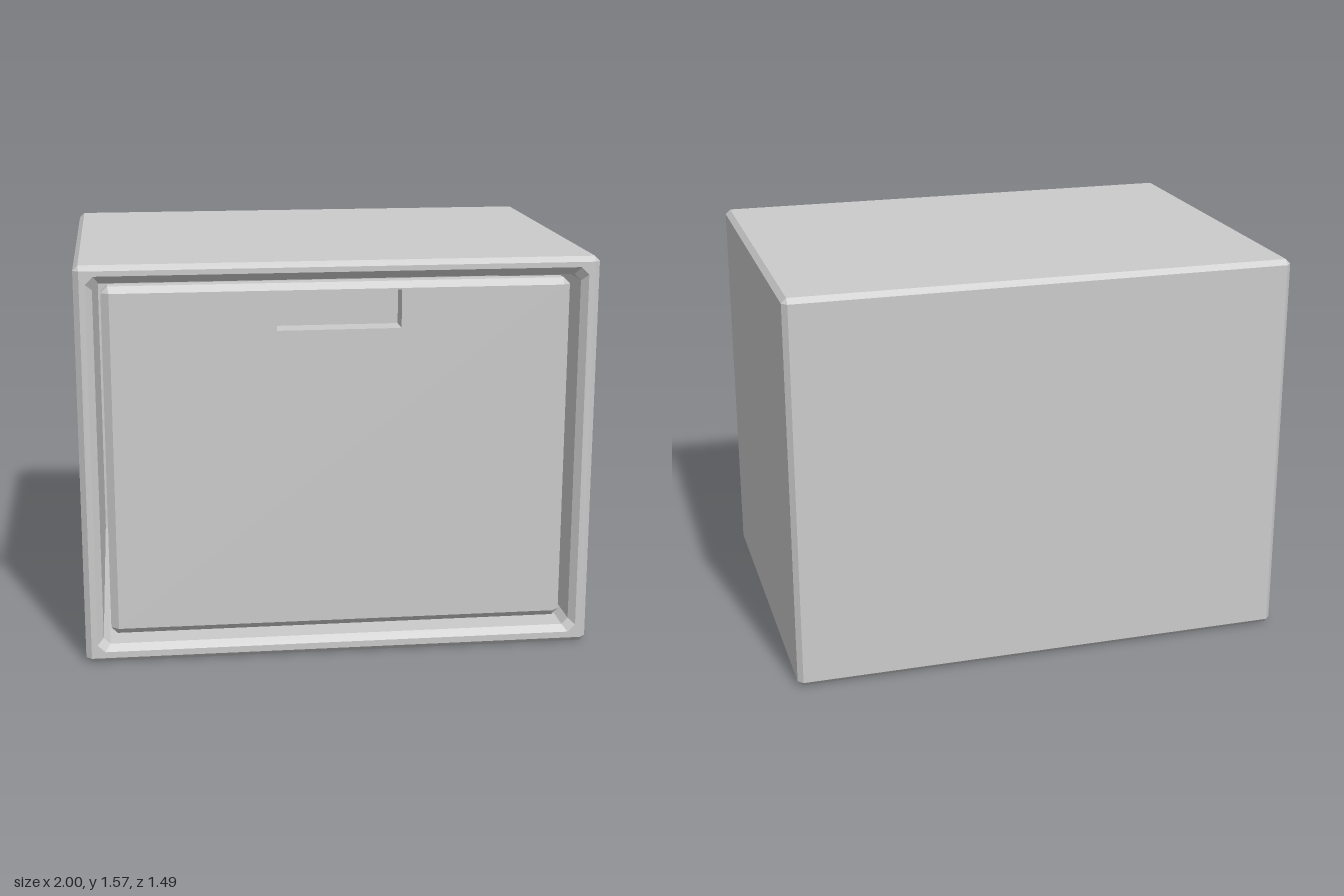
import * as THREE from 'three';

const material = new THREE.MeshStandardMaterial({ color: 0xcccccc, flatShading: true });

// Counter-clockwise rectangle with corners cut by c, lying at depth z
function ring(halfWidth, bottom, top, c, z) {
  const w = halfWidth;
  return [
    [w, bottom + c], [w, top - c], [w - c, top], [-w + c, top],
    [-w, top - c], [-w, bottom + c], [-w + c, bottom], [w - c, bottom],
  ].map(([x, y]) => new THREE.Vector3(x, y, z));
}

// Skin joining successive rings, optionally closed at both ends
function loft(rings, closed) {
  const points = [];
  for (let k = 0; k < rings.length - 1; k++) {
    for (let i = 0; i < 8; i++) {
      const j = (i + 1) % 8;
      const a = rings[k][i], b = rings[k][j], c = rings[k + 1][j], d = rings[k + 1][i];
      points.push(a, b, c, a, c, d);
    }
  }
  if (closed) {
    const first = rings[0], last = rings[rings.length - 1];
    for (let i = 1; i < 7; i++) {
      points.push(first[0], first[i + 1], first[i], last[0], last[i], last[i + 1]);
    }
  }
  const geometry = new THREE.BufferGeometry().setFromPoints(points);
  geometry.computeVertexNormals();
  return geometry;
}

function addMesh(parent, name, geometry) {
  const mesh = new THREE.Mesh(geometry, material);
  mesh.name = name;
  parent.add(mesh);
  return mesh;
}

export function createModel() {
  const model = new THREE.Group();
  model.name = 'cabinet';

  // Hollow case: chamfered outside, bevelled front opening, inner cavity
  addMesh(model, 'case', loft([
    ring(0.98, 0.02, 1.55, 0, -0.745),
    ring(1, 0, 1.57, 0.02, -0.725),
    ring(1, 0, 1.57, 0.02, 0.725),
    ring(0.978, 0.02, 1.55, 0, 0.745),
    ring(0.955, 0.045, 1.53, 0.03, 0.745),
    ring(0.93, 0.07, 1.5, 0.025, 0.72),
    ring(0.93, 0.07, 1.5, 0.025, -0.68),
  ], true));

  // Recessed front panel with chamfered edges
  const panel = new THREE.Group();
  panel.name = 'frontPanel';
  model.add(panel);
  const front = 0.695, back = 0.6;
  const face = (z) => ring(0.87, 0.12, 1.455, 0, z);
  const edge = (z) => ring(0.9, 0.095, 1.48, 0.025, z);
  addMesh(panel, 'panelEdge', loft([face(back), edge(back + 0.022), edge(front - 0.022), face(front)]));

  // Front and back faces, pierced by the hand slot
  const slot = (z) => ring(0.24, 1.3, 1.45, 0, z);
  const shape = new THREE.Shape([[0.87, 0.12], [0.87, 1.455], [-0.87, 1.455], [-0.87, 0.12]]
    .map(([x, y]) => new THREE.Vector2(x, y)));
  shape.holes.push(new THREE.Path([[0.24, 1.3], [-0.24, 1.3], [-0.24, 1.45], [0.24, 1.45]]
    .map(([x, y]) => new THREE.Vector2(x, y))));
  addMesh(panel, 'panelFront', new THREE.ShapeGeometry(shape)).position.z = front;
  const rear = addMesh(panel, 'panelBack', new THREE.ShapeGeometry(shape));
  rear.rotation.y = Math.PI;
  rear.position.z = back;

  // Walls of the hand slot
  addMesh(panel, 'handSlot', loft([slot(front), slot(back)]));

  return model;
}
